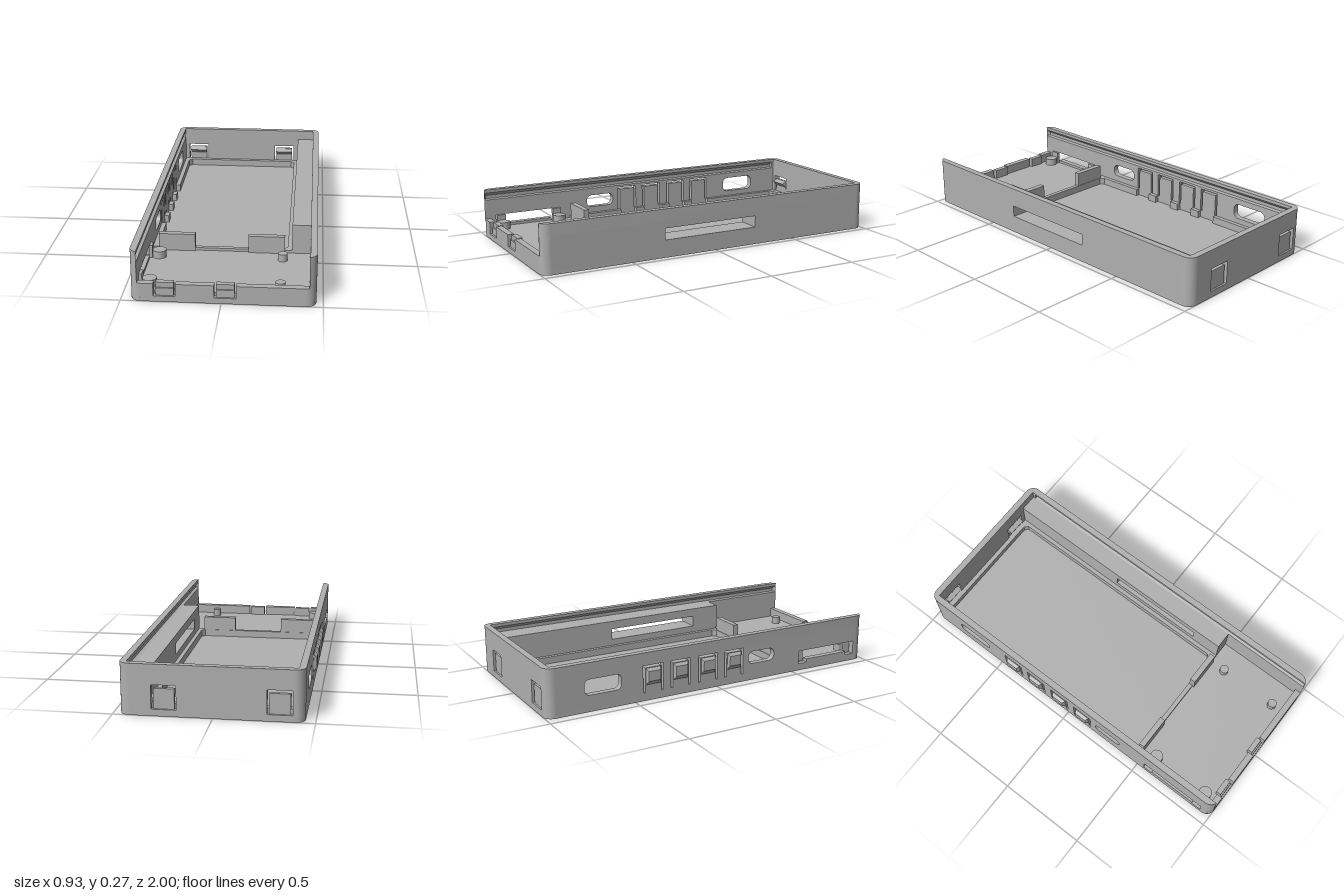
import * as THREE from 'three';
import { toCreasedNormals } from 'three/addons/utils/BufferGeometryUtils.js';

const L = -0.45, R = 0.466, T = 0.035, RAD = 0.05, H = 0.265, BASE = 0.02, GROOVE = 0.2;

export function createModel() {
  const model = new THREE.Group();
  const grey = new THREE.MeshStandardMaterial({ color: 0xb0b0b0 });
  grey.name = 'grey plastic';

  const add = (name, geo) => {
    const mesh = new THREE.Mesh(geo, grey);
    mesh.name = name;
    model.add(mesh);
    return mesh;
  };
  const box = (name, x0, x1, y0, y1, z0, z1) => {
    const g = new THREE.BoxGeometry(x1 - x0, y1 - y0, z1 - z0);
    return add(name, g.translate((x0 + x1) / 2, (y0 + y1) / 2, (z0 + z1) / 2));
  };
  // Rounded rectangle outline
  const rounded = (Type, a0, a1, b0, b1, r) => {
    const s = new Type();
    s.absarc(a1 - r, b1 - r, r, 0, Math.PI / 2);
    s.absarc(a0 + r, b1 - r, r, Math.PI / 2, Math.PI);
    s.absarc(a0 + r, b0 + r, r, Math.PI, Math.PI * 1.5);
    s.absarc(a1 - r, b0 + r, r, Math.PI * 1.5, Math.PI * 2);
    s.closePath();
    return s;
  };
  const poly = (Type, pts) => new Type(pts.map(p => new THREE.Vector2(...p)));
  const rect = (Type, a0, a1, b0, b1) => poly(Type, [[a0, b0], [a1, b0], [a1, b1], [a0, b1]]);
  const extrude = (shape, depth) => toCreasedNormals(
    new THREE.ExtrudeGeometry(shape, { depth, bevelEnabled: false, curveSegments: 8 }), 0.6);
  // Plan outline (x, -z) raised from y0 to y1
  const slab = (name, shape, y0, y1) =>
    add(name, extrude(shape, y1 - y0).rotateX(-Math.PI / 2).translate(0, y0, 0));
  // Side outline (z, y) extruded from x0 to x1
  const sidePlate = (name, shape, x0, x1) =>
    add(name, extrude(shape, x1 - x0).rotateY(-Math.PI / 2).translate(x1, 0, 0));
  // Outline (x, y) extruded from z0 to z1
  const facePlate = (name, shape, z0, z1) =>
    add(name, extrude(shape, z1 - z0).translate(0, 0, z0));

  // Floor, recessed tray ledge and front bay
  slab('base', rounded(THREE.Shape, L, R, -1, 1, RAD), 0, BASE);
  const ledge = rect(THREE.Shape, -0.42, 0.44, -0.48, 0.975);
  const pocket = [[0.31, -0.435], [0.31, 0.92], [0.29, 0.94], [-0.37, 0.94], [-0.39, 0.92], [-0.39, 0.45], [-0.415, 0.45]];
  for (const z of [-0.31, -0.15, 0.025]) {
    pocket.push([-0.415, -z + 0.028], [-0.39, -z + 0.028], [-0.39, -z - 0.028], [-0.415, -z - 0.028]);
  }
  pocket.push([-0.415, -0.155], [-0.39, -0.155], [-0.39, -0.435], [-0.37, -0.455], [0.29, -0.455]);
  ledge.holes.push(poly(THREE.Path, pocket));
  slab('trayLedge', ledge, BASE, 0.06);
  box('frontBayFloor', -0.42, 0.44, BASE, 0.045, 0.48, 0.97);

  // Left-hand wall with port holes, connector slot and button cutouts
  const buttons = [-0.395, -0.23, -0.06, 0.105];
  const portWall = rect(THREE.Shape, -0.95, 0.95, BASE, GROOVE);
  portWall.holes.push(rounded(THREE.Path, -0.79, -0.58, 0.09, 0.175, 0.03));
  portWall.holes.push(rounded(THREE.Path, 0.2, 0.37, 0.095, 0.165, 0.03));
  portWall.holes.push(poly(THREE.Path, [
    [0.545, 0.04], [0.6, 0.04], [0.6, 0.06], [0.88, 0.06], [0.88, 0.04], [0.935, 0.04],
    [0.935, 0.115], [0.545, 0.115]]));
  for (const z of buttons) {
    // inverted U slit leaves a flexible tongue
    const a = 0.06, b = 0.047;
    portWall.holes.push(poly(THREE.Path, [
      [z - a, 0.045], [z - b, 0.045], [z - b, 0.182], [z + b, 0.182],
      [z + b, 0.045], [z + a, 0.045], [z + a, 0.194], [z - a, 0.194]]));
    // bevelled button cap
    const cap = facePlate('button', poly(THREE.Shape, [
      [L + 0.002, 0.085], [L + 0.002, 0.18], [-0.467, 0.165], [-0.467, 0.11]]), z - 0.044, z + 0.044);
    const p = cap.geometry.attributes.position;
    for (let i = 0; i < p.count; i++) {
      if (p.getX(i) < -0.46) p.setZ(i, z + (p.getZ(i) - z) * 0.8);
    }
    cap.geometry.computeVertexNormals();
  }
  sidePlate('portWall', portWall, L, L + T);
  for (const z of [0.57, 0.907]) box('connectorClip', -0.418, -0.4, 0.045, 0.115, z - 0.025, z + 0.025);

  // Opposite wall and inner block, with one long slot through both
  const slotWall = rect(THREE.Shape, -0.95, 0.95, BASE, GROOVE);
  slotWall.holes.push(rect(THREE.Path, -0.25, 0.31, 0.097, 0.16));
  sidePlate('slotWall', slotWall, R - T, R);
  const block = rect(THREE.Shape, -0.972, 0.48, 0.05, 0.208);
  block.holes.push(rect(THREE.Path, -0.25, 0.31, 0.097, 0.16));
  sidePlate('innerBlock', block, 0.333, R - T + 0.001);

  // Back wall with two latch windows
  const backWall = rect(THREE.Shape, L + RAD, R - RAD, BASE, H);
  for (const [x0, x1] of [[-0.39, -0.265], [0.18, 0.305]]) {
    backWall.holes.push(rect(THREE.Path, x0, x1, 0.035, 0.16));
    box('latchTongue', x0 + 0.01, x1 - 0.01, 0.03, 0.14, -0.99, -0.97);
    sidePlate('latchWedge', poly(THREE.Shape, [[-0.972, 0.1], [-0.945, 0.125], [-0.972, 0.14]]), x0 + 0.01, x1 - 0.01);
  }
  facePlate('backWall', backWall, -1, -1 + T);

  // Low front wall with two notches and their tongues
  const front = [[L + RAD, BASE], [R - RAD, BASE], [R - RAD, 0.097]];
  for (const [x0, x1] of [[-0.035, 0.075], [-0.335, -0.225]]) {
    front.push([x1, 0.097], [x1, 0.03], [x0, 0.03], [x0, 0.097]);
    box('frontTongue', x0 + 0.01, x1 - 0.01, 0.03, 0.097, 0.953, 0.982);
    box('frontTongueLip', x0 + 0.01, x1 - 0.01, 0.03, 0.07, 0.98, 0.99);
  }
  front.push([L + RAD, 0.097]);
  facePlate('frontWall', poly(THREE.Shape, front), 1 - T, 1);

  // Rounded corner posts
  for (const sx of [-1, 1]) for (const sz of [-1, 1]) {
    const edge = sx < 0 ? L : R;
    const pts = [];
    for (let i = 0; i <= 8; i++) {
      const a = i / 8 * Math.PI / 2;
      pts.push([RAD * (1 - Math.cos(a)), RAD * (1 - Math.sin(a))]);
    }
    pts.push([RAD, T], [T, T], [T, RAD]);
    // pts run from the side wall (0, RAD) to the end wall (RAD, 0)
    const ordered = [...pts.slice(0, 9).reverse(), [0, RAD], [T, RAD], [T, T], [RAD, T]]
      .filter((p, i, all) => i === 0 || Math.hypot(p[0] - all[i - 1][0], p[1] - all[i - 1][1]) > 1e-6);
    const plan = ordered.map(([u, v]) => [edge - sx * u, -sz * (1 - v)]);
    slab('cornerPost', poly(THREE.Shape, plan), BASE, sz < 0 ? H : 0.097);
  }

  // Lofts a wall section [inset, y] along z, trimming it to the front corner curve
  const rail = (name, section, sx, z0) => {
    const edge = sx < 0 ? L : R, n = section.length, pos = [];
    const zs = [z0];
    for (let i = 0; i <= 8; i++) zs.push(1 - RAD + RAD * Math.sin(i / 8 * Math.PI / 2));
    const rings = zs.map(z => {
      const d = Math.max(0, z - 1 + RAD);
      const trim = RAD - Math.sqrt(Math.max(0, RAD * RAD - d * d));
      return section.map(([u, y]) => [edge - sx * Math.min(T, Math.max(u, trim)), y, z]);
    });
    const tri = (a, b, c) => pos.push(...a, ...(sx < 0 ? [...b, ...c] : [...c, ...b]));
    for (let k = 0; k + 1 < rings.length; k++) for (let i = 0; i < n; i++) {
      const j = (i + 1) % n, A = rings[k], B = rings[k + 1];
      tri(A[i], A[j], B[j]);
      tri(A[i], B[j], B[i]);
    }
    const caps = THREE.ShapeUtils.triangulateShape(section.map(p => new THREE.Vector2(...p)), []);
    for (const [a, b, c] of caps) {
      tri(rings[0][a], rings[0][c], rings[0][b]);
      tri(rings[9][a], rings[9][b], rings[9][c]);
    }
    const g = new THREE.BufferGeometry();
    g.setAttribute('position', new THREE.Float32BufferAttribute(pos, 3));
    add(name, toCreasedNormals(g, 0.5));
  };
  for (const sx of [-1, 1]) {
    rail('slidingLidRail', [[0, GROOVE], [T, GROOVE], [T, 0.207], [0.016, 0.211], [0.016, 0.23],
      [T, 0.248], [T, H], [0, H]], sx, -0.95);
    rail('frontWallEnd', [[0, 0.097], [T, 0.097], [T, GROOVE], [0, GROOVE]], sx, 0.95);
  }

  // Upright stops and mounting pegs
  for (const [x0, x1] of [[-0.38, -0.185], [0.1, 0.295]]) box('uprightStop', x0, x1, 0.04, 0.14, 0.458, 0.49);
  for (const z of [0.57, 0.907]) for (const [x, r] of [[-0.365, 0.036], [0.287, 0.025]]) {
    add('mountingPeg', new THREE.CylinderGeometry(r, r, 0.045, 24).translate(x, 0.0625, z));
  }
  return model;
}
